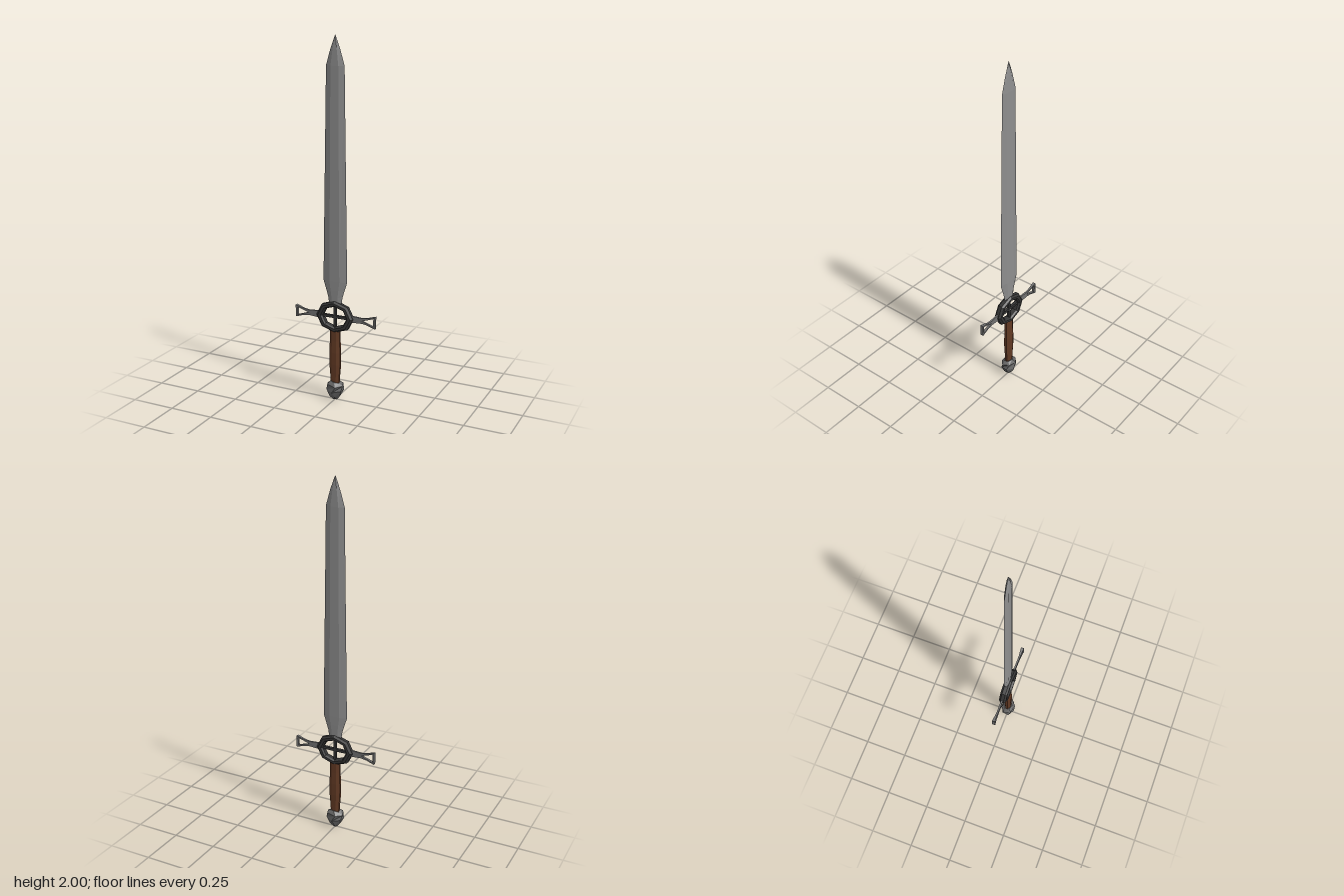
import * as THREE from 'three';

const mat = (name, color) => Object.assign(new THREE.MeshStandardMaterial({ color }), { name });

// Faceted normals for every part
function facet(geo) {
  const g = geo.index ? geo.toNonIndexed() : geo;
  g.computeVertexNormals();
  return g;
}

// Skin stacked horizontal sections (arrays of [x, y, z], bottom to top) and cap both ends
function loft(sections) {
  const pos = [];
  const n = sections[0].length;
  const tri = (...pts) => pts.forEach((p) => pos.push(...p));
  const centre = (s) => [0, 1, 2].map((k) => s.reduce((sum, p) => sum + p[k], 0) / n);
  const last = sections[sections.length - 1];
  const c0 = centre(sections[0]), c1 = centre(last);
  for (let j = 0; j < n; j++) {
    const k = (j + 1) % n;
    for (let i = 0; i < sections.length - 1; i++) {
      const a = sections[i], b = sections[i + 1];
      tri(a[j], b[j], a[k]);
      tri(b[j], b[k], a[k]);
    }
    tri(c0, sections[0][j], sections[0][k]);
    tri(c1, last[k], last[j]);
  }
  const g = new THREE.BufferGeometry();
  g.setAttribute('position', new THREE.Float32BufferAttribute(pos, 3));
  return facet(g);
}

// Elliptical section with straight sides
const oval = (y, rx, rz, sides, turn = 0) => Array.from({ length: sides }, (_, j) => {
  const a = (j / sides) * Math.PI * 2 + turn;
  return [Math.cos(a) * rx, y, Math.sin(a) * rz];
});

export function createModel() {
  const group = new THREE.Group();
  const bladeSteel = mat('blade steel', 0x8e8e8e);
  const darkIron = mat('dark iron', 0x353535);
  const guardSteel = mat('guard steel', 0x727272);
  const leather = mat('brown leather', 0x623a24);
  const pommelSteel = mat('pommel steel', 0x666666);
  const add = (name, geo, material) => {
    const mesh = new THREE.Mesh(geo, material);
    mesh.name = name;
    group.add(mesh);
    return mesh;
  };
  const hiltY = 0.488;

  // Blade: six-sided section, [height, half width, half thickness]
  const blade = [
    [0.55, 0.036, 0.008], [0.6, 0.043, 0.01], [0.64, 0.055, 0.011], [0.69, 0.071, 0.012],
    [1.845, 0.053, 0.011], [1.93, 0.028, 0.008], [1.975, 0.011, 0.005], [2, 0.001, 0.001],
  ].map(([y, w, t]) => {
    const f = w * 0.42;
    return [[w, y, 0], [f, y, t], [-f, y, t], [-w, y, 0], [-f, y, -t], [f, y, -t]];
  });
  add('blade', loft(blade), bladeSteel);

  // Eight-sided guard ring with chamfered rims
  const rim = [[0.073, -0.012], [0.081, -0.021], [0.098, -0.021], [0.11, -0.01],
    [0.11, 0.01], [0.098, 0.021], [0.081, 0.021], [0.073, 0.012], [0.073, -0.012]]
    .map(([r, h]) => new THREE.Vector2(r, h));
  const ringGeo = new THREE.LatheGeometry(rim, 8);
  ringGeo.rotateX(Math.PI / 2).scale(1, 0.82, 1).translate(0, hiltY, 0);
  add('guardRing', facet(ringGeo), darkIron);

  // Cross inside the ring
  add('crossBarHorizontal', new THREE.BoxGeometry(0.16, 0.015, 0.016), darkIron).position.y = hiltY;
  add('crossBarVertical', new THREE.BoxGeometry(0.015, 0.13, 0.016), darkIron).position.y = hiltY;

  // Guard arms: waisted bars that fork into an open triangle
  const edge = [[0.09, 0.019], [0.13, 0.017], [0.16, 0.015], [0.19, 0.019], [0.215, 0.027], [0.24, 0.034]];
  const outline = [...edge.map(([x, y]) => [x, -y]), ...[...edge].reverse()];
  const toPoints = (list) => list.map(([x, y]) => new THREE.Vector2(x, y));
  const arm = new THREE.Shape(toPoints(outline));
  arm.holes.push(new THREE.Path(toPoints([[0.162, 0], [0.195, 0.011], [0.23, 0.024], [0.23, -0.024], [0.195, -0.011]])));
  const armGeo = new THREE.ExtrudeGeometry(arm, { depth: 2, bevelEnabled: false });
  const p = armGeo.attributes.position;
  for (let i = 0; i < p.count; i++) {
    // Thicken towards the outer end
    const t = Math.max(0, (p.getX(i) - 0.19) / 0.05);
    p.setZ(i, (p.getZ(i) - 1) * (0.005 + 0.004 * t));
  }
  armGeo.translate(0, hiltY, 0);
  add('leftGuardArm', facet(armGeo), guardSteel);
  add('rightGuardArm', facet(armGeo.clone().rotateY(Math.PI)), guardSteel);

  // Grip: swelling eight-sided handle
  const grip = [[0.09, 0.026, 0.017], [0.14, 0.029, 0.018], [0.21, 0.035, 0.021],
    [0.28, 0.035, 0.021], [0.35, 0.032, 0.018], [0.415, 0.031, 0.017]]
    .map(([y, rx, rz]) => oval(y, rx, rz, 8, Math.PI / 8));
  add('grip', loft(grip), leather);

  // Pommel: rough-cut faceted lump
  const pommel = [[0.002, 0.012, 0.01, 0.3], [0.022, 0.035, 0.025, 0.3], [0.055, 0.052, 0.04, 0.6],
    [0.088, 0.052, 0.041, 0.2], [0.106, 0.03, 0.024, 0.4]]
    .map(([y, rx, rz, turn], i) => oval(y, rx, rz, 6, turn)
      .map(([x, h, z], j) => [x, i === 0 ? 0.002 * (j % 2) : h + 0.006 * Math.sin(j * 2.3 + i), z]));
  add('pommel', loft(pommel), pommelSteel);

  return group;
}
